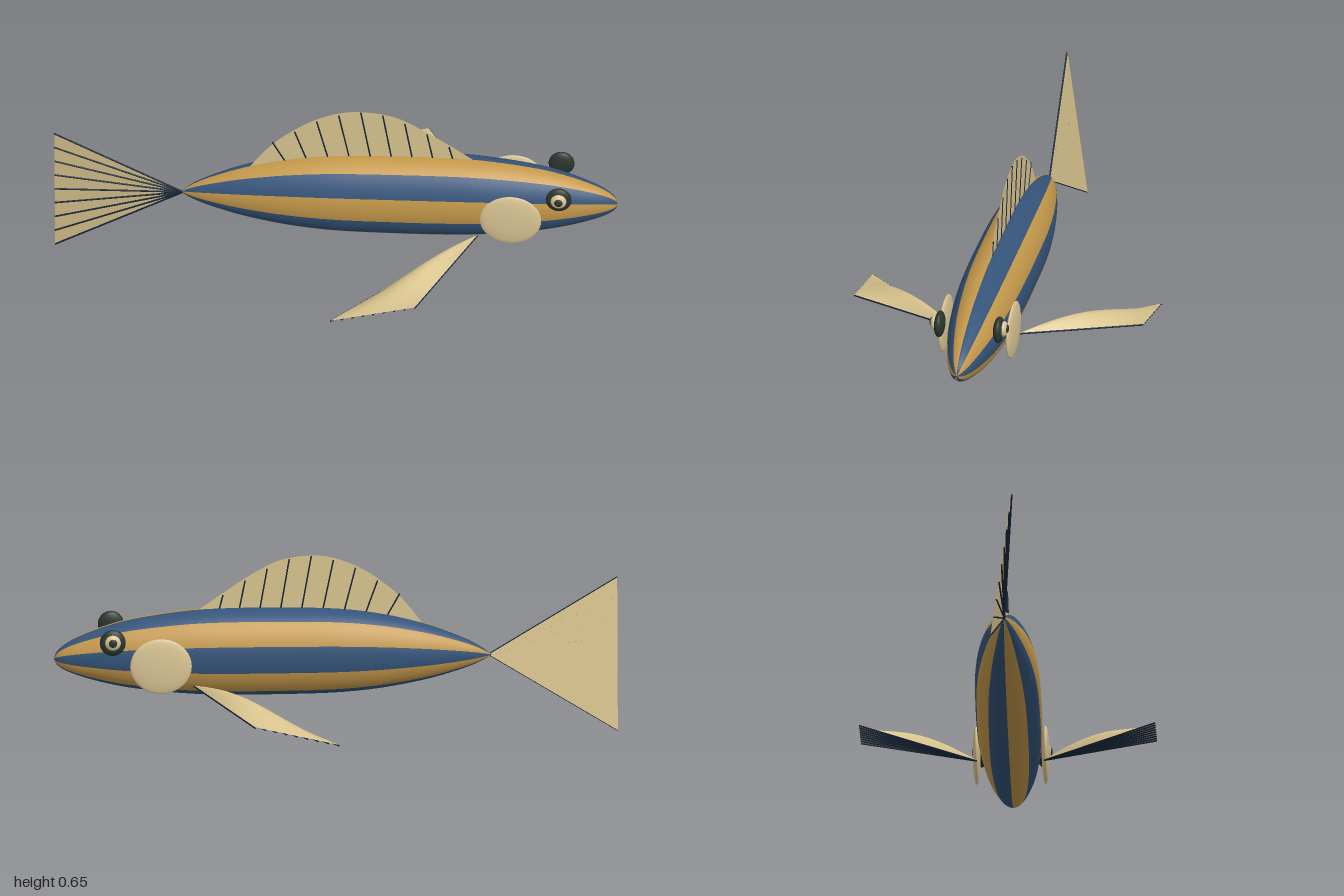
import * as THREE from 'three';

const mat = (name, color, side = THREE.FrontSide) => {
  const m = new THREE.MeshStandardMaterial({ color, side });
  m.name = name;
  return m;
};
const V = (x, y, z = 0) => new THREE.Vector3(x, y, z);

export function createModel() {
  const gold = mat('gold', 0xc4984a);
  const blue = mat('blue', 0x35547a);
  const cream = mat('cream', 0xdac594);
  const finCream = mat('finCream', 0xd9c48e, THREE.DoubleSide);
  const navy = mat('navy', 0x17263a);
  const eyeDark = mat('eyeDark', 0x2a352f);

  const model = new THREE.Group();
  model.name = 'fish';
  const add = (parent, name, geometry, material) => {
    const m = new THREE.Mesh(geometry, material);
    m.name = name;
    parent.add(m);
    return m;
  };
  const group = (name) => {
    const g = new THREE.Group();
    g.name = name;
    model.add(g);
    return g;
  };
  // Thin straight fin ray between two points
  const ray = (parent, a, b, r = 0.003) => {
    const d = b.clone().sub(a);
    const m = add(parent, 'finRay', new THREE.CylinderGeometry(r, r, d.length(), 6), navy);
    m.position.copy(a).add(b).multiplyScalar(0.5);
    m.quaternion.setFromUnitVectors(V(0, 1, 0), d.normalize());
  };
  // Grid surface from a function of u, v in 0..1
  const surface = (fn, nu, nv) => {
    const pos = [], idx = [];
    for (let i = 0; i <= nu; i++) {
      for (let j = 0; j <= nv; j++) {
        pos.push(...fn(i / nu, j / nv).toArray());
        if (i < nu && j < nv) {
          const a = i * (nv + 1) + j, c = a + nv + 1;
          idx.push(a, a + 1, c, a + 1, c + 1, c);
        }
      }
    }
    const g = new THREE.BufferGeometry();
    g.setAttribute('position', new THREE.Float32BufferAttribute(pos, 3));
    g.setIndex(idx);
    g.computeVertexNormals();
    return g;
  };

  // Body: oval sections along x, ten lengthwise stripes
  const profile = new THREE.CatmullRomCurve3([
    [-0.555, 0.01], [-0.5, 0.23], [-0.42, 0.44], [-0.31, 0.66], [-0.15, 0.87], [0, 0.97],
    [0.2, 1], [0.35, 1], [0.5, 0.965], [0.7, 0.81], [0.8, 0.67], [0.9, 0.46],
    [0.95, 0.31], [0.98, 0.16], [0.992, 0.005],
  ].map(([x, r]) => V(x, r)), false, 'centripetal').getPoints(70);
  const sides = 60, stripe = 6, pos = [], idx = [];
  for (const p of profile) {
    for (let j = 0; j < sides; j++) {
      const a = (j / sides) * Math.PI * 2;
      pos.push(p.x, 0.28 + p.y * (0.024 + 0.159 * Math.cos(a)), 0.117 * p.y * Math.sin(a));
    }
  }
  const body = new THREE.BufferGeometry();
  for (let s = 0; s < sides / stripe; s++) {
    const start = idx.length;
    for (let i = 0; i < profile.length - 1; i++) {
      for (let j = s * stripe; j < (s + 1) * stripe; j++) {
        const k = (j + 1) % sides, a = i * sides, c = a + sides;
        idx.push(a + j, a + k, c + j, a + k, c + k, c + j);
      }
    }
    body.addGroup(start, idx.length - start, s % 2);
  }
  body.setAttribute('position', new THREE.Float32BufferAttribute(pos, 3));
  body.setIndex(idx);
  body.computeVertexNormals();
  add(model, 'stripedBody', body, [gold, blue]);

  // Dorsal fin: arched membrane with leaning rays
  const dorsal = group('dorsalFin');
  const arch = new THREE.Shape();
  arch.moveTo(-0.31, 0.4);
  arch.splineThru([
    [-0.26, 0.467], [-0.2, 0.53], [-0.1, 0.603], [0, 0.645], [0.09, 0.655],
    [0.2, 0.637], [0.3, 0.583], [0.4, 0.515], [0.49, 0.45],
  ].map(([x, y]) => new THREE.Vector2(x, y)));
  add(dorsal, 'dorsalMembrane', new THREE.ShapeGeometry(arch, 6), finCream);
  [0.51, 0.56, 0.608, 0.638, 0.654, 0.643, 0.608, 0.565, 0.512].forEach((top, i) => {
    const x = -0.23 + i * 0.078;
    ray(dorsal, V(x + 0.06 - i * 0.004, 0.4), V(x, top));
  });

  // Tail: slightly twisted flat triangle with a fan of rays
  const tail = group('tailFin');
  const root = V(-0.545, 0.28), tailTop = V(-1, 0.55, 0.036), tailLow = V(-1, 0.005, -0.036);
  add(tail, 'tailMembrane', surface(
    (u, v) => root.clone().lerp(tailTop.clone().lerp(tailLow, v), u), 1, 8), finCream);
  for (let i = 0; i < 9; i++) {
    const end = tailTop.clone().lerp(tailLow, i / 8);
    ray(tail, root.clone().setZ(0.003), end.setZ(end.z + 0.003));
  }

  // Paired parts, mirrored across z
  for (const s of [1, -1]) {
    const side = s > 0 ? 'right' : 'left';

    // Pectoral fin: triangle arched upward, straight rays beneath
    const fin = group(side + 'PectoralFin');
    const apex = V(0.5, 0.216, 0.12 * s);
    const lead = V(0.297, 0.193, 0.522 * s), trail = V(0, 0.124, 0.522 * s);
    add(fin, 'pectoralMembrane', surface((u, v) => {
      const p = apex.clone().lerp(lead.clone().lerp(trail, v), u);
      p.y += 0.045 * Math.sin(Math.PI * u) * Math.sin(Math.PI * v);
      return p;
    }, 16, 12), finCream);
    for (let i = 0; i < 9; i++) {
      const end = lead.clone().lerp(trail, i / 8);
      ray(fin, apex.clone().setY(0.213), end.setY(end.y - 0.003));
    }

    // Gill cover and eye: flattened spheres
    const disc = (parent, name, material, c, r) => {
      const m = add(parent, name, new THREE.SphereGeometry(1, 32, 20), material);
      m.position.set(c[0], c[1], c[2] * s);
      m.scale.set(...r);
    };
    disc(model, side + 'GillCover', cream, [0.617, 0.288, 0.122], [0.109, 0.102, 0.014]);
    const eye = group(side + 'Eye');
    disc(eye, 'eyeball', eyeDark, [0.787, 0.373, 0.107], [0.046, 0.048, 0.019]);
    disc(eye, 'iris', cream, [0.787, 0.378, 0.125], [0.028, 0.028, 0.014]);
    disc(eye, 'pupil', eyeDark, [0.787, 0.38, 0.137], [0.015, 0.015, 0.006]);
  }
  return model;
}
